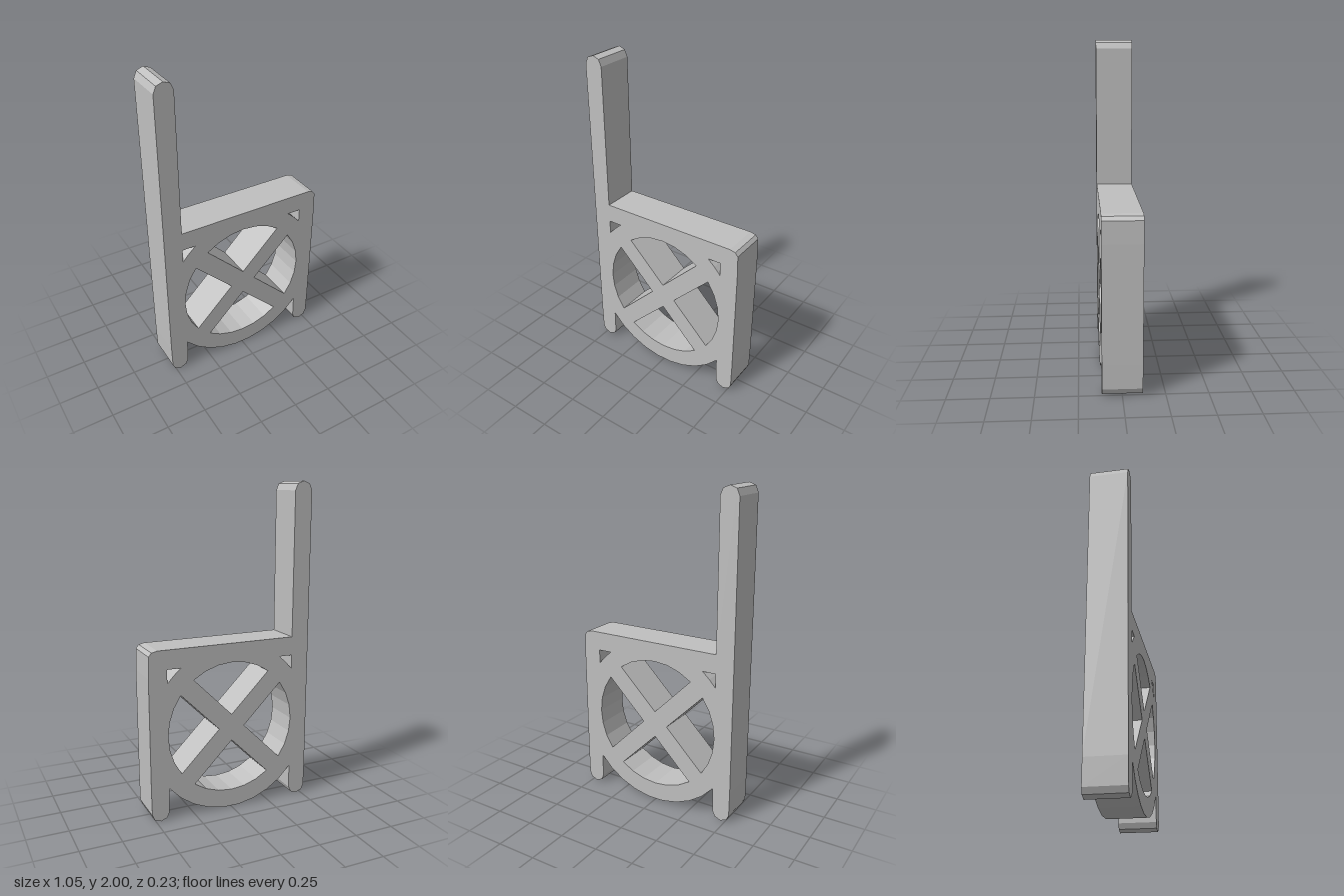
import * as THREE from 'three';

const DEPTH = 0.234;
const CY = 0.53;      // wheel centre height
const R_IN = 0.413;   // wheel inner radius, also inner face of the legs
const R_OUT = 0.527;  // wheel outer radius, also outer face of the legs
const BAR = 0.059;    // half width of a cross bar

// Points on a circle around the wheel centre
function arc(radius, from, to, steps) {
  return Array.from({ length: steps + 1 }, (_, i) => {
    const a = from + ((to - from) * i) / steps;
    return new THREE.Vector2(radius * Math.cos(a), CY + radius * Math.sin(a));
  });
}

const toPoints = (list) => list.map(([x, y]) => new THREE.Vector2(x, y));

export function createModel() {
  const group = new THREE.Group();
  group.name = 'chair';
  const grey = new THREE.MeshStandardMaterial({ color: 0xc0c0c0 });
  grey.name = 'grey';

  // Rounded foot of a leg, from left to right
  const foot = (cx) => toPoints([
    [cx - 0.055, 0.05], [cx - 0.04, 0.016], [cx, 0], [cx + 0.04, 0.016], [cx + 0.055, 0.05],
  ]);

  // Silhouette, counter-clockwise: left leg, wheel rim, right leg, seat, backrest
  const rim = Math.acos(R_IN / R_OUT);
  const outline = new THREE.Shape([
    ...toPoints([[-R_OUT, 0.2]]),
    ...foot(-0.47),
    ...arc(R_OUT, Math.PI + rim, 2 * Math.PI - rim, 9),
    ...foot(0.47),
    ...toPoints([
      [R_OUT, 0.2], [R_OUT, 0.9], [0.523, 1.03], [0.505, 1.052], [0.47, 1.06],
      [-R_IN, 1.06], [-R_IN, 1.945], [-0.43, 1.985], [-0.47, 2], [-0.51, 1.985], [-R_OUT, 1.945],
    ]),
  ]);

  // Four openings between the cross bars
  const tip = BAR * Math.SQRT2;
  const half = Math.PI / 4 - Math.asin(BAR / R_IN);
  for (let i = 0; i < 4; i++) {
    const a = (i * Math.PI) / 2;
    outline.holes.push(new THREE.Path([
      new THREE.Vector2(tip * Math.cos(a), CY + tip * Math.sin(a)),
      ...arc(R_IN, a - half, a + half, 6),
    ]));
  }

  // Small corner openings under the seat
  const start = Math.acos(R_IN / R_OUT);
  const end = Math.PI / 2 - start;
  for (const side of [-1, 1]) {
    const corner = [...arc(R_OUT, start, end, 2), new THREE.Vector2(R_IN, CY + R_IN)];
    outline.holes.push(new THREE.Path(corner.map((p) => new THREE.Vector2(side * p.x, p.y))));
  }

  const geometry = new THREE.ExtrudeGeometry(outline, { depth: DEPTH, bevelEnabled: false });
  geometry.translate(0, 0, -DEPTH / 2);
  const frame = new THREE.Mesh(geometry, grey);
  frame.name = 'chairFrame';
  group.add(frame);
  return group;
}
